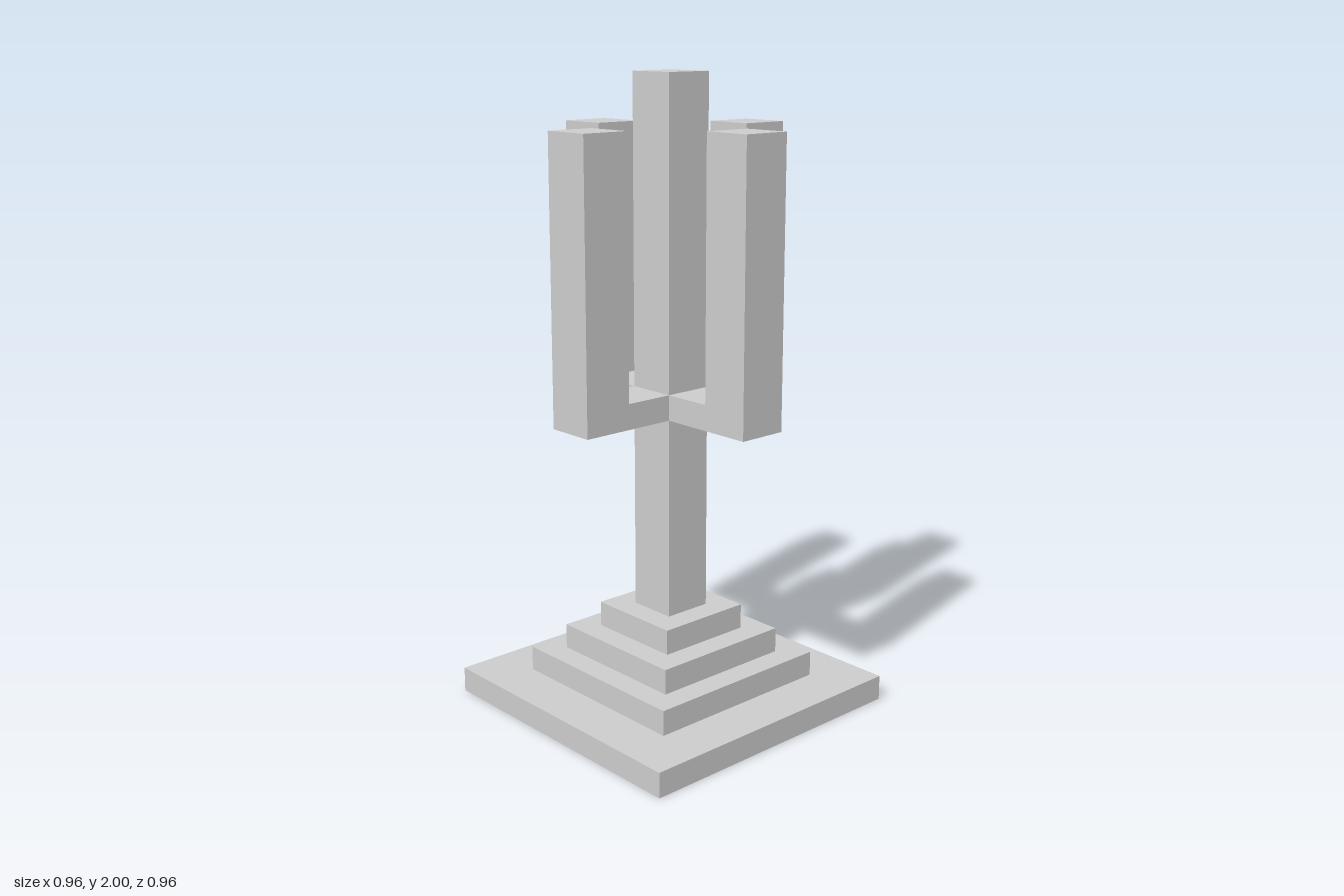
import * as THREE from 'three';

const U = 0.08; // base module: every size is a multiple of it

export function createModel() {
  const model = new THREE.Group();
  model.name = 'candelabrum';
  const material = new THREE.MeshStandardMaterial({ color: 0xcccccc, flatShading: true });

  const add = (name, geometry) => {
    const mesh = new THREE.Mesh(geometry, material);
    mesh.name = name;
    model.add(mesh);
    return mesh;
  };

  // Stepped square base, each step one unit high
  [12, 8, 6, 4].forEach((width, i) => {
    add(`baseStep${i + 1}`, new THREE.BoxGeometry(width * U, U, width * U))
      .position.y = (i + 0.5) * U;
  });

  // Central square column from the top step to the full height
  add('column', new THREE.BoxGeometry(2 * U, 21 * U, 2 * U)).position.y = 14.5 * U;

  // L-shaped arm: a short bracket turning up into a square post
  const outline = [[1, 12], [5, 12], [5, 23], [3, 23], [3, 13], [1, 13]]
    .map(([x, y]) => new THREE.Vector2(x * U, y * U));
  const armGeometry = new THREE.ExtrudeGeometry(new THREE.Shape(outline), {
    depth: 2 * U,
    bevelEnabled: false,
  });
  armGeometry.translate(0, 0, -U);

  // Four arms around the column
  ['leftArm', 'backArm', 'rightArm', 'frontArm'].forEach((name, i) => {
    add(name, armGeometry).rotation.y = (i * Math.PI) / 2;
  });

  return model;
}
